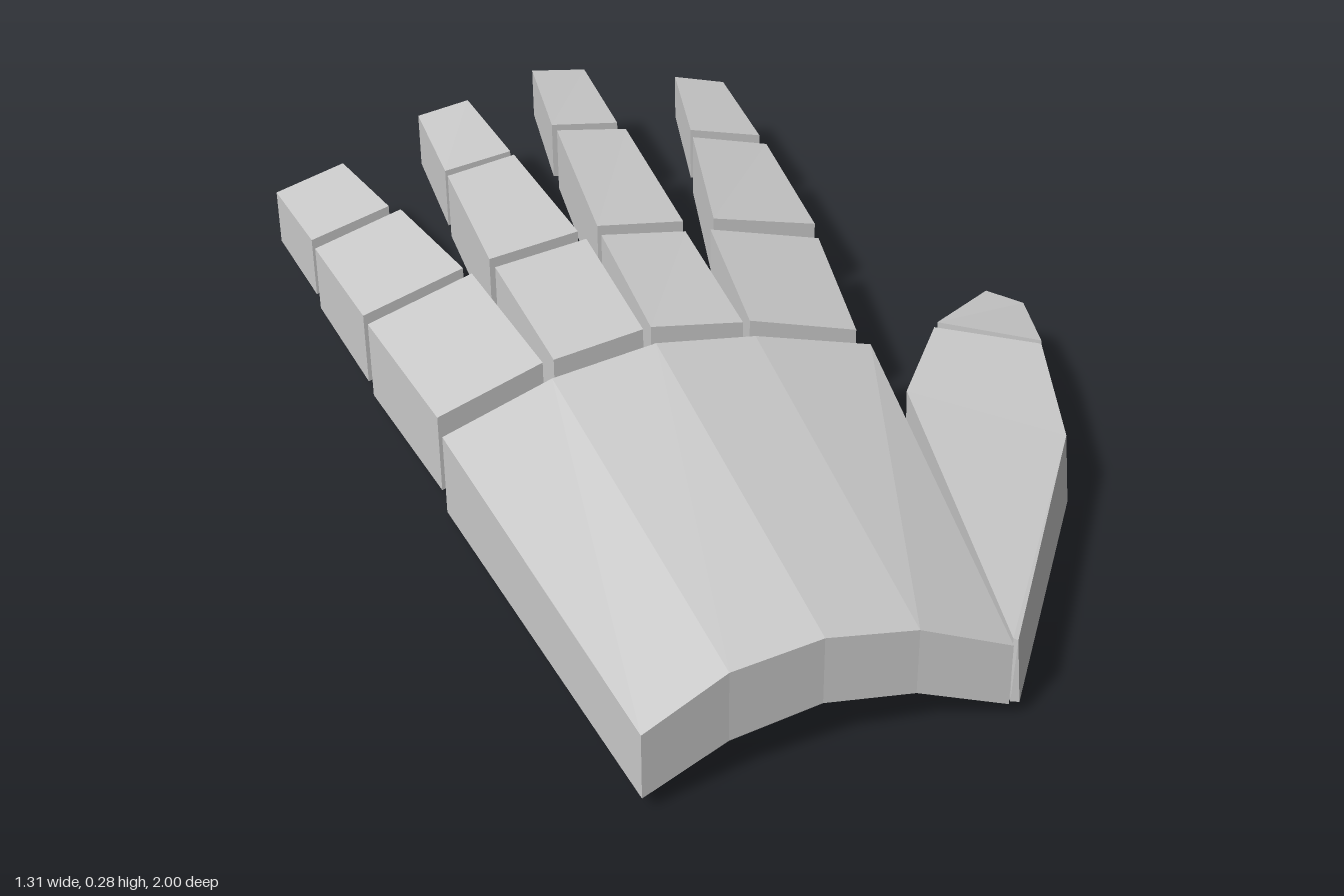
import * as THREE from 'three';

const material = new THREE.MeshStandardMaterial({ color: 0xcccccc, flatShading: true });

// Solid through sections ordered from +z to -z; each has top and bottom points from -x to +x
function loft(name, sections) {
  const pos = [];
  const quad = (a, b, c, d) => pos.push(...a, ...b, ...c, ...a, ...c, ...d);
  const rings = sections.map((s) => [...s.top, ...[...s.bottom].reverse()]);
  for (let k = 0; k < rings.length - 1; k++) {
    const n = rings[k], f = rings[k + 1];
    n.forEach((p, i) => {
      const j = (i + 1) % n.length;
      quad(p, n[j], f[j], f[i]);
    });
  }
  const first = sections[0], last = sections[sections.length - 1];
  for (let i = 0; i < first.top.length - 1; i++) {
    quad(first.bottom[i], first.bottom[i + 1], first.top[i + 1], first.top[i]);
    quad(last.top[i], last.top[i + 1], last.bottom[i + 1], last.bottom[i]);
  }
  const geometry = new THREE.BufferGeometry();
  geometry.setAttribute('position', new THREE.Float32BufferAttribute(pos, 3));
  geometry.computeVertexNormals();
  const mesh = new THREE.Mesh(geometry, material);
  mesh.name = name;
  return mesh;
}

// Four-cornered section: plan [xL, zL, xR, zR], heights [topL, topR, bottomL, bottomR]
function section([xl, zl, xr, zr], [tl, tr, bl, br], flare = 0) {
  return {
    top: [[xl, tl, zl], [xr, tr, zr]],
    bottom: [[xl, bl, zl + flare], [xr + flare, br, zr + flare]],
  };
}

// Arched section of the hand plate, from columns [x, z, top, bottom]
const arch = (cols) => ({
  top: cols.map(([x, z, t]) => [x, t, z]),
  bottom: cols.map(([x, z, , b]) => [x, b, z]),
});

// Each finger: plan of both ends of its three segments, heights at knuckle and tip
const fingers = {
  littleFinger: {
    plan: [
      [-0.553, 0.085, -0.34, 0.058], [-0.6, -0.25, -0.383, -0.272],
      [-0.6, -0.288, -0.39, -0.312], [-0.632, -0.558, -0.447, -0.577],
      [-0.63, -0.598, -0.463, -0.614], [-0.656, -0.807, -0.508, -0.825],
    ],
    base: [0.19, 0.245, 0.02, 0.07], tip: [0.17, 0.2, 0.05, 0.08],
  },
  ringFinger: {
    plan: [
      [-0.32, 0.063, -0.14, 0.05], [-0.336, -0.27, -0.146, -0.28],
      [-0.336, -0.312, -0.15, -0.323], [-0.328, -0.648, -0.183, -0.656],
      [-0.325, -0.68, -0.183, -0.685], [-0.317, -0.926, -0.206, -0.929],
    ],
    base: [0.25, 0.268, 0.075, 0.095], tip: [0.22, 0.235, 0.1, 0.115],
  },
  middleFinger: {
    plan: [
      [-0.124, 0.048, 0.056, 0.061], [-0.114, -0.283, 0.058, -0.273],
      [-0.108, -0.328, 0.069, -0.318], [-0.071, -0.717, 0.077, -0.706],
      [-0.071, -0.754, 0.071, -0.746], [-0.04, -1, 0.077, -0.995],
    ],
    base: [0.268, 0.245, 0.095, 0.075], tip: [0.237, 0.22, 0.125, 0.11],
  },
  indexFinger: {
    plan: [
      [0.071, 0.058, 0.28, 0.085], [0.108, -0.265, 0.33, -0.238],
      [0.13, -0.307, 0.341, -0.286], [0.198, -0.624, 0.357, -0.606],
      [0.206, -0.66, 0.354, -0.64], [0.251, -0.889, 0.357, -0.873],
    ],
    base: [0.243, 0.19, 0.07, 0.022], tip: [0.225, 0.2, 0.125, 0.11],
  },
};

export function createModel() {
  const hand = new THREE.Group();
  hand.name = 'armoredHand';

  // Arched back of the hand, from wrist to knuckles
  hand.add(loft('handPlate', [
    arch([[-0.465, 0.995, 0.175, 0.035], [-0.305, 0.97, 0.24, 0.09], [-0.135, 0.96, 0.255, 0.112],
      [0.03, 0.97, 0.232, 0.092], [0.192, 0.995, 0.17, 0.038]]),
    arch([[-0.56, 0.145, 0.19, 0.015], [-0.34, 0.118, 0.25, 0.075], [-0.135, 0.11, 0.275, 0.095],
      [0.06, 0.118, 0.25, 0.075], [0.285, 0.145, 0.195, 0.015]]),
  ]));

  // Four fingers of three tapering segments
  for (const [name, { plan, base, tip }] of Object.entries(fingers)) {
    const finger = new THREE.Group();
    finger.name = name;
    const ends = plan.map((p, i) => {
      const t = Math.max(0, (i - 1) / 4);
      return section(p, base.map((y, k) => y + (tip[k] - y) * t));
    });
    for (let s = 0; s < 3; s++) {
      finger.add(loft(`${name}Segment${s + 1}`, [ends[2 * s], ends[2 * s + 1]]));
    }
    hand.add(finger);
  }

  // Thumb: long base piece and short tip
  const thumb = new THREE.Group();
  thumb.name = 'thumb';
  thumb.add(
    loft('thumbBase', [
      section([0.198, 0.98, 0.205, 0.985], [0.172, 0.17, 0.036, 0.035], 0.008),
      section([0.288, 0.312, 0.526, 0.503], [0.2, 0.172, 0.035, 0.022], 0.01),
      section([0.415, 0.148, 0.6, 0.238], [0.206, 0.183, 0.04, 0.012], 0.01),
    ]),
    loft('thumbTip', [
      section([0.431, 0.127, 0.61, 0.218], [0.2, 0.175, 0.04, 0.008], 0.01),
      section([0.577, 0.034, 0.645, 0.065], [0.18, 0.155, 0.03, 0], 0.008),
    ]),
  );
  hand.add(thumb);
  return hand;
}
